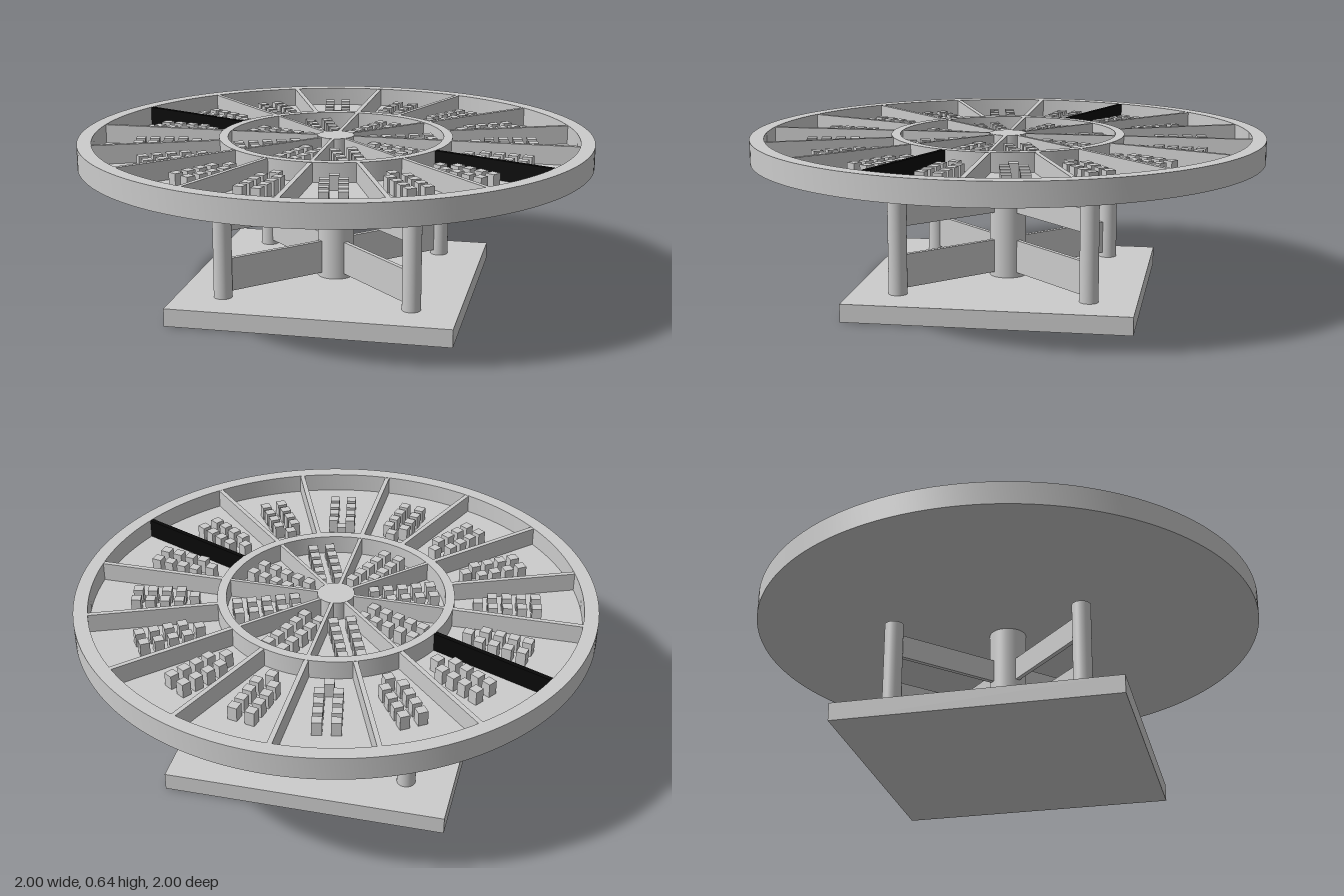
import * as THREE from 'three';
import { toCreasedNormals } from 'three/addons/utils/BufferGeometryUtils.js';

const grey = new THREE.MeshStandardMaterial({ color: 0xcccccc });
const black = new THREE.MeshStandardMaterial({ color: 0x080808 });

const TRAY_BOTTOM = 0.55, FLOOR = 0.565, TRAY_TOP = 0.64;

function add(parent, name, geometry, x = 0, y = 0, z = 0, material = grey) {
  const mesh = new THREE.Mesh(geometry, material);
  mesh.name = name;
  mesh.position.set(x, y, z);
  parent.add(mesh);
  return mesh;
}

// Upright cylinder standing between two heights
function pillar(parent, name, radius, y0, y1, x = 0, z = 0, sides = 32) {
  return add(parent, name, new THREE.CylinderGeometry(radius, radius, y1 - y0, sides), x, (y0 + y1) / 2, z);
}

// Flat ring with square edges
function ring(parent, name, outer, inner, y0, y1) {
  const shape = new THREE.Shape().absarc(0, 0, outer, 0, Math.PI * 2);
  shape.holes.push(new THREE.Path().absarc(0, 0, inner, 0, Math.PI * 2, true));
  const geometry = new THREE.ExtrudeGeometry(shape, { depth: y1 - y0, bevelEnabled: false, curveSegments: 96 });
  geometry.rotateX(-Math.PI / 2);
  return add(parent, name, toCreasedNormals(geometry, 0.6), 0, y0, 0);
}

// Wall running outward from r0 to r1 along the local x axis
function radialWall(parent, name, r0, r1, y0, y1, thickness, angle, material = grey) {
  const geometry = new THREE.BoxGeometry(r1 - r0, y1 - y0, thickness);
  geometry.translate((r0 + r1) / 2, (y0 + y1) / 2, 0);
  const mesh = add(parent, name, geometry, 0, 0, 0, material);
  mesh.rotation.y = -angle;
  return mesh;
}

// Double row of small blocks in one compartment
function blockCluster(parent, name, rStart, count, single, angle) {
  const cluster = new THREE.Group();
  cluster.name = name;
  cluster.rotation.y = -angle;
  const size = 0.037, height = 0.055, pitch = 0.0555;
  const geometry = new THREE.BoxGeometry(size, height, size);
  for (let i = 0; i < count; i++) {
    const sides = single && i === 0 ? [0] : [-0.034, 0.034];
    for (const z of sides) add(cluster, 'block', geometry, rStart + i * pitch, FLOOR + height / 2, z);
  }
  parent.add(cluster);
}

export function createModel() {
  const model = new THREE.Group();
  model.name = 'roundTrayStand';

  // Stand: square base, central column, four posts and diagonal braces
  const stand = new THREE.Group();
  stand.name = 'stand';
  model.add(stand);
  add(stand, 'base', new THREE.BoxGeometry(1.09, 0.07, 1.09), 0, 0.035, 0);
  pillar(stand, 'centralColumn', 0.072, 0.07, TRAY_BOTTOM, 0, 0, 48);
  for (let i = 0; i < 4; i++) {
    const angle = Math.PI / 4 + (i * Math.PI) / 2;
    const reach = 0.364 * Math.SQRT2;
    pillar(stand, 'post', 0.036, 0.07, 0.46, reach * Math.cos(angle), reach * Math.sin(angle));
    radialWall(stand, 'lowerBrace', 0.06, reach - 0.02, 0.09, 0.22, 0.018, angle);
    radialWall(stand, 'upperBrace', 0.06, reach - 0.02, 0.33, 0.42, 0.018, angle);
  }

  // Tray: floor, rim, inner ring and hub
  const tray = new THREE.Group();
  tray.name = 'tray';
  model.add(tray);
  pillar(tray, 'trayFloor', 0.97, TRAY_BOTTOM, FLOOR, 0, 0, 128);
  ring(tray, 'outerRim', 1, 0.945, TRAY_BOTTOM, TRAY_TOP);
  ring(tray, 'innerRing', 0.455, 0.42, FLOOR - 0.005, TRAY_TOP);
  pillar(tray, 'hub', 0.072, FLOOR - 0.005, TRAY_TOP, 0, 0, 32);

  // Sixteen outer compartments, two of the dividers black
  for (let i = 0; i < 16; i++) {
    const angle = (i * Math.PI) / 8;
    const dark = i % 8 === 1;
    radialWall(tray, dark ? 'blackDivider' : 'outerDivider', 0.45, 0.948, FLOOR - 0.005, TRAY_TOP - 0.001,
      0.018, angle, dark ? black : grey);
    blockCluster(tray, 'outerBlocks', 0.545, 5, true, angle + Math.PI / 16);
  }

  // Eight inner compartments
  for (let i = 0; i < 8; i++) {
    const angle = (i * Math.PI) / 4;
    radialWall(tray, 'innerDivider', 0.065, 0.425, FLOOR - 0.005, TRAY_TOP - 0.001, 0.014, angle);
    blockCluster(tray, 'innerBlocks', 0.155, 5, false, angle + Math.PI / 8);
  }
  return model;
}
